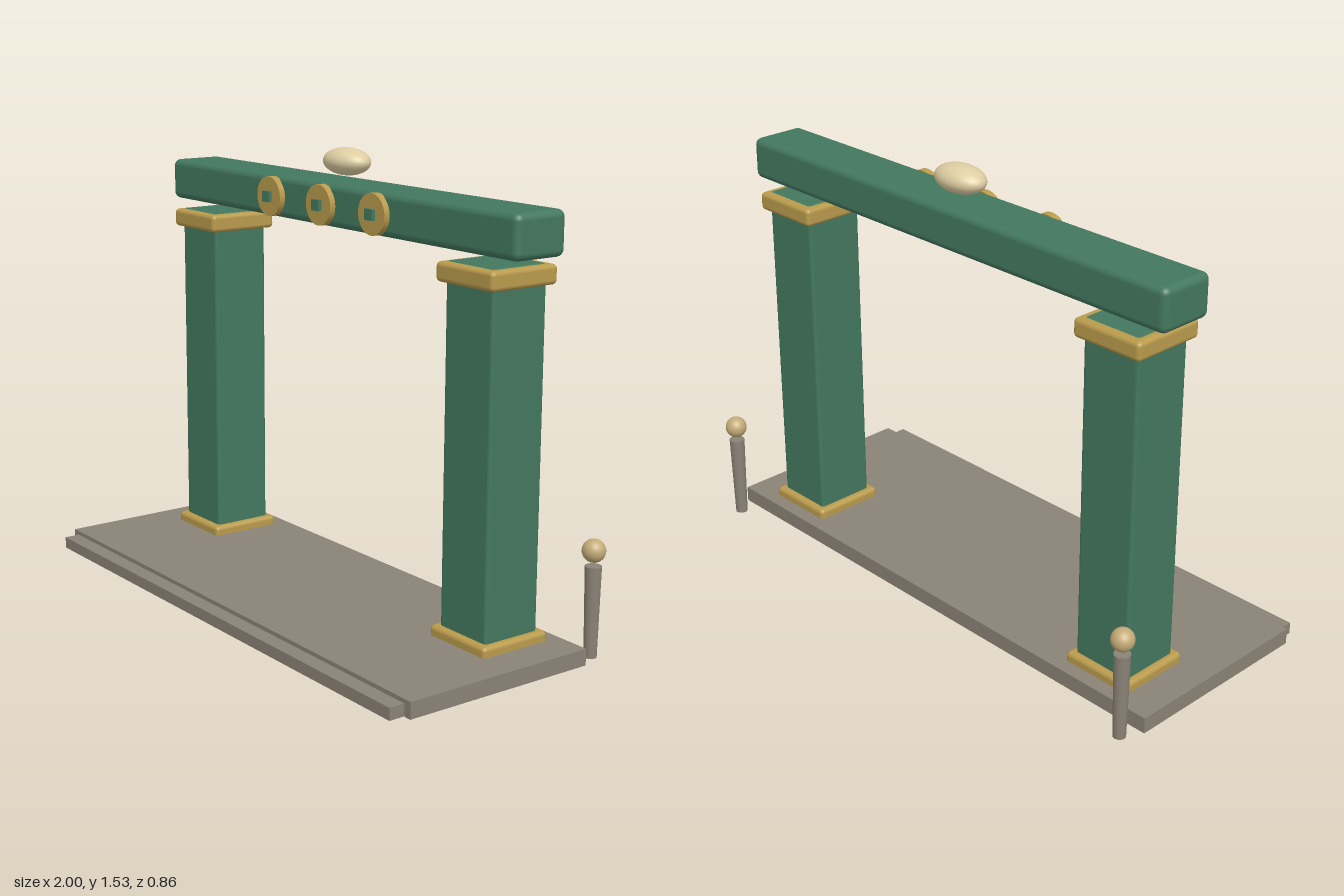
import * as THREE from 'three';
import { RoundedBoxGeometry } from 'three/addons/geometries/RoundedBoxGeometry.js';

const mat = (color) => new THREE.MeshStandardMaterial({ color });

export function createModel() {
  const group = new THREE.Group();
  const stone = mat(0x8a8276), green = mat(0x43785f), gold = mat(0xb99b4c);
  const cream = mat(0xddcda2), brass = mat(0xc4ac78);
  const archZ = -0.148;

  const add = (name, geometry, material, x, y, z) => {
    const mesh = new THREE.Mesh(geometry, material);
    mesh.name = name;
    mesh.position.set(x, y, z);
    group.add(mesh);
    return mesh;
  };
  // Box with softened edges, placed by its bottom height
  const block = (name, [w, h, d], r, material, x, y0, z) =>
    add(name, new RoundedBoxGeometry(w, h, d, 3, r), material, x, y0 + h / 2, z);

  // Platform with a lower step along the front
  add('platform', new THREE.BoxGeometry(2, 0.055, 0.7), stone, 0, 0.0275, 0.02);
  add('frontStep', new THREE.BoxGeometry(1.945, 0.04, 0.1), stone, 0, 0.021, 0.375);

  for (const side of [-1, 1]) {
    // Square column with gold plinth and capital
    const x = side * 0.747;
    block('column', [0.217, 1.221, 0.215], 0.012, green, x, 0.032, archZ);
    block('plinth', [0.262, 0.075, 0.264], 0.015, gold, x, 0.013, archZ);
    block('capital', [0.262, 0.063, 0.264], 0.015, gold, x, 1.187, archZ);

    // Bollard behind the platform corner
    add('bollard', new THREE.CylinderGeometry(0.027, 0.021, 0.3, 20), stone, side * 0.955, 0.15, -0.393);
    add('bollardBall', new THREE.SphereGeometry(0.038, 24, 16), brass, side * 0.955, 0.35, -0.393);
  }

  // Lintel carrying three medallions
  block('lintel', [1.88, 0.143, 0.2], 0.024, green, 0, 1.281, -0.15);
  for (const x of [-0.285, 0, 0.285]) {
    const disc = add('medallion', new THREE.CylinderGeometry(0.068, 0.068, 0.026, 32), gold, x, 1.353, -0.042);
    disc.rotation.x = Math.PI / 2;
    add('medallionStud', new THREE.BoxGeometry(0.038, 0.036, 0.024), green, x, 1.353, -0.028);
  }

  // Flattened finial hovering over the middle
  add('finial', new THREE.SphereGeometry(1, 32, 20), cream, 0, 1.489, -0.148).scale.set(0.1, 0.046, 0.066);

  return group;
}
